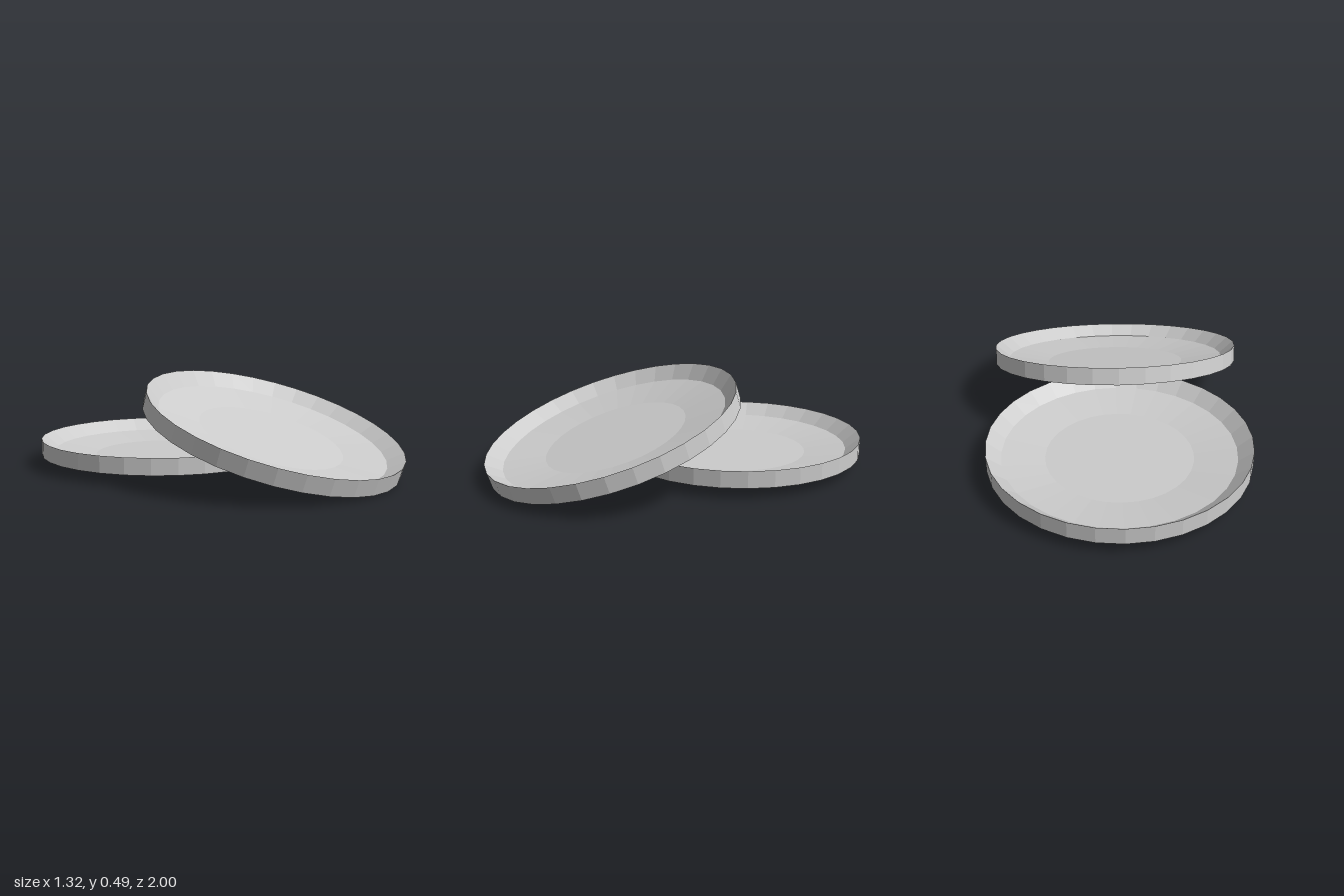
import * as THREE from 'three';

const RADIUS = 0.658;

// Shallow dish: flat base, sloped underside, upright wall, bevelled rim, shallow sunken floor
function makeDish(name, material) {
  const profile = [
    [0, 0], [0.345, 0], [RADIUS, 0.055], [RADIUS, 0.14],
    [0.584, 0.077], [0.37, 0.045], [0, 0.045],
  ].map(([r, y]) => new THREE.Vector2(r, y));
  const dish = new THREE.Mesh(new THREE.LatheGeometry(profile, 32), material);
  dish.name = name;
  return dish;
}

export function createModel() {
  const group = new THREE.Group();
  group.name = 'dishes';
  const material = new THREE.MeshStandardMaterial({ color: 0xcccccc, flatShading: true });

  // Rear dish lies flat
  const flatDish = makeDish('flatDish', material);
  flatDish.position.set(0, 0, -1 + RADIUS);

  // Front dish leans over the rear one, opening towards the front
  const leaningDish = makeDish('leaningDish', material);
  leaningDish.position.set(0, 0.157, 0.33);
  leaningDish.rotation.x = THREE.MathUtils.degToRad(18);

  group.add(flatDish, leaningDish);
  return group;
}
